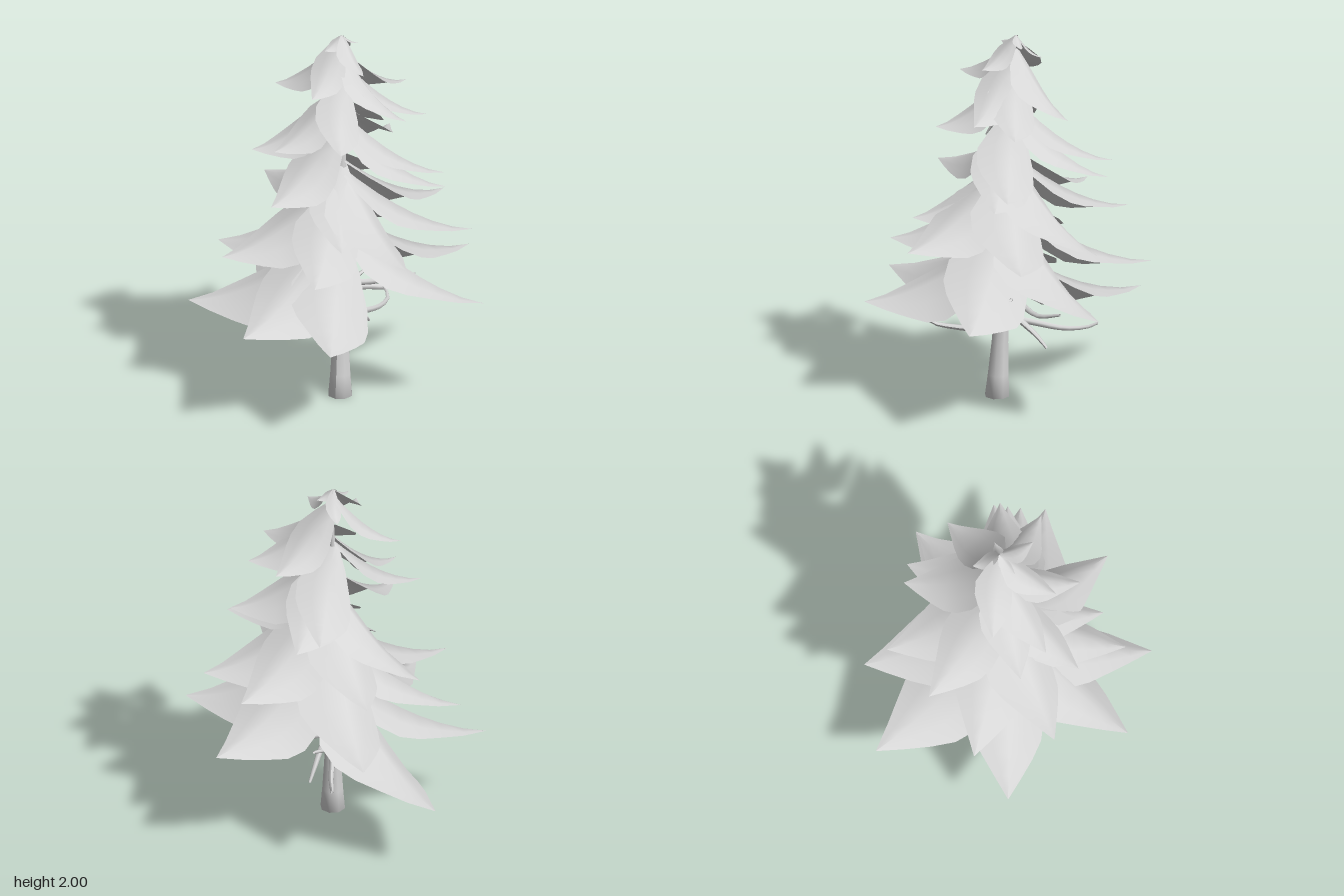
import * as THREE from 'three';

const needleGrey = new THREE.MeshStandardMaterial({ color: 0xd6d6d6, side: THREE.DoubleSide });
needleGrey.name = 'pale grey';

// Centre of the gently leaning trunk at height y
const trunkCentre = (y) => new THREE.Vector3(-0.012 * y, y, 0.025 - 0.048 * y);

// Bough tips [x, y, z], from the lowest to the crown
const tips = [
  [-0.70, 0.42, -0.53], [-0.77, 0.48, 0.21], [0.22, 0.52, 0.68], [-0.26, 0.55, 0.70],
  [0.77, 0.61, -0.07], [0.44, 0.64, -0.67], [-0.36, 0.70, -0.70], [-0.69, 0.75, 0],
  [0.09, 0.84, 0.58], [-0.51, 0.84, 0.38], [0.61, 0.91, -0.30], [0.51, 0.93, 0.35],
  [0.32, 0.96, -0.62], [-0.35, 1.0, -0.58], [0.18, 1.0, 0.43], [-0.55, 1.05, -0.29],
  [-0.22, 1.19, 0.42], [0.53, 1.21, -0.13], [0.5, 1.26, -0.19], [0.03, 1.29, -0.59],
  [-0.09, 1.34, -0.57], [-0.43, 1.38, 0.17], [-0.27, 1.43, 0.26], [0.13, 1.50, 0.32],
  [0.40, 1.57, -0.20], [0.38, 1.62, 0.03], [0.19, 1.64, -0.42], [-0.37, 1.70, 0],
  [-0.06, 1.76, 0.25], [0.15, 1.85, 0.06], [-0.08, 1.87, -0.2], [-0.08, 1.94, 0.03], [0.05, 1.95, -0.12],
];

// Along a bough, as shares of its length:
// [distance, width of high side, its fall, width of low side, its fall]
const sections = [
  [0, 0.06, 0.03, 0.06, 0.05], [0.12, 0.2, 0.035, 0.14, 0.14], [0.28, 0.325, 0.035, 0.21, 0.245],
  [0.43, 0.325, 0.03, 0.225, 0.255], [0.56, 0.27, 0.015, 0.21, 0.205], [0.7, 0.185, 0, 0.155, 0.125],
  [0.85, 0.092, 0, 0.08, 0.055], [1, 0.002, 0, 0.002, 0],
];
const across = [-1, -0.5, 0, 0.5, 1];

// A folded, tilted sheet which narrows to an upswept point
function boughGeometry(tip) {
  const centre = trunkCentre(tip.y);
  const reach = Math.hypot(tip.x - centre.x, tip.z - centre.z);
  const root = trunkCentre(Math.min(2, tip.y + 0.28 * reach + 0.17));
  const out = new THREE.Vector3(tip.x - root.x, 0, tip.z - root.z);
  const length = out.length();
  out.normalize();
  const side = new THREE.Vector3(out.z, 0, -out.x);
  const drop = root.y - tip.y;
  const points = [];
  const index = [];
  const n = across.length;
  sections.forEach(([t, highWidth, highFall, lowWidth, lowFall], i) => {
    const ridgeY = root.y - drop * (1 - Math.pow(1 - t, 1.7));
    across.forEach((s, j) => {
      const width = s < 0 ? highWidth : lowWidth;
      const fall = (s < 0 ? highFall : lowFall) * Math.pow(Math.abs(s), 1.15);
      const p = root.clone().addScaledVector(out, t * length).addScaledVector(side, s * width * length);
      points.push(p.x, ridgeY - fall * length, p.z);
      if (i > 0 && j > 0) {
        const a = (i - 1) * n + j - 1, b = a + 1, c = a + n, d = c + 1;
        index.push(a, c, b, b, c, d);
      }
    });
  });
  const geometry = new THREE.BufferGeometry();
  geometry.setAttribute('position', new THREE.Float32BufferAttribute(points, 3));
  geometry.setIndex(index);
  geometry.computeVertexNormals();
  return geometry;
}

// Bare twigs under the lowest boughs, each as a few path points
const twigs = [
  [[0, 0.4, 0], [0.03, 0.37, 0.1], [0.05, 0.37, 0.25], [0.07, 0.39, 0.36], [0.07, 0.43, 0.4]],
  [[0, 0.44, 0], [-0.04, 0.41, -0.15], [-0.08, 0.38, -0.32], [-0.12, 0.39, -0.44], [-0.13, 0.41, -0.48]],
  [[0, 0.47, 0], [0.1, 0.46, -0.05], [0.19, 0.49, -0.1], [0.21, 0.53, -0.13], [0.18, 0.58, -0.14]],
  [[0, 0.6, 0], [0.1, 0.57, -0.12], [0.17, 0.53, -0.25], [0.2, 0.56, -0.38]],
  [[0, 0.63, 0], [0.12, 0.62, -0.07], [0.25, 0.64, -0.13], [0.35, 0.67, -0.16]],
  [[0, 0.5, -0.01], [0.03, 0.43, -0.12], [0.04, 0.37, -0.2], [0.05, 0.31, -0.26]],
  [[0, 0.62, -0.01], [-0.03, 0.57, -0.12], [-0.04, 0.53, -0.25], [0, 0.56, -0.36]],
  [[0, 0.55, 0.01], [-0.05, 0.5, 0.06], [-0.08, 0.46, 0.14], [-0.08, 0.46, 0.2]],
];

function twigGeometry(path) {
  const curve = new THREE.CatmullRomCurve3(path.map((p) => new THREE.Vector3(...p)));
  const steps = 10, sides = 6;
  const geometry = new THREE.TubeGeometry(curve, steps, 0.018, sides);
  const pos = geometry.attributes.position;
  // Taper the tube towards its end
  for (let i = 0; i < pos.count; i++) {
    const t = Math.floor(i / (sides + 1)) / steps;
    const c = curve.getPointAt(t);
    const p = new THREE.Vector3().fromBufferAttribute(pos, i).sub(c).multiplyScalar(1 - 0.6 * t * t).add(c);
    pos.setXYZ(i, p.x, p.y, p.z);
  }
  geometry.computeVertexNormals();
  return geometry;
}

// Eight-sided trunk with a flared foot, sheared to follow the lean
function trunkGeometry() {
  const profile = [[0, 0], [0.066, 0], [0.056, 0.12], [0.045, 0.3], [0.038, 0.5], [0.03, 1], [0.018, 1.6], [0, 1.96]];
  const geometry = new THREE.LatheGeometry(profile.map((p) => new THREE.Vector2(...p)), 8);
  const pos = geometry.attributes.position;
  for (let i = 0; i < pos.count; i++) {
    const c = trunkCentre(pos.getY(i));
    pos.setXYZ(i, pos.getX(i) + c.x + 0.005, c.y, pos.getZ(i) + c.z);
  }
  geometry.computeVertexNormals();
  return geometry;
}

export function createModel() {
  const tree = new THREE.Group();
  tree.name = 'pineTree';
  const add = (parent, geometry, name) => {
    const mesh = new THREE.Mesh(geometry, needleGrey);
    mesh.name = name;
    parent.add(mesh);
  };
  add(tree, trunkGeometry(), 'trunk');

  const boughs = new THREE.Group();
  boughs.name = 'boughs';
  tips.forEach((tip, i) => add(boughs, boughGeometry(new THREE.Vector3(...tip)), `bough${i + 1}`));

  const bareTwigs = new THREE.Group();
  bareTwigs.name = 'bareTwigs';
  twigs.forEach((path, i) => add(bareTwigs, twigGeometry(path), `twig${i + 1}`));

  tree.add(boughs, bareTwigs);
  return tree;
}
